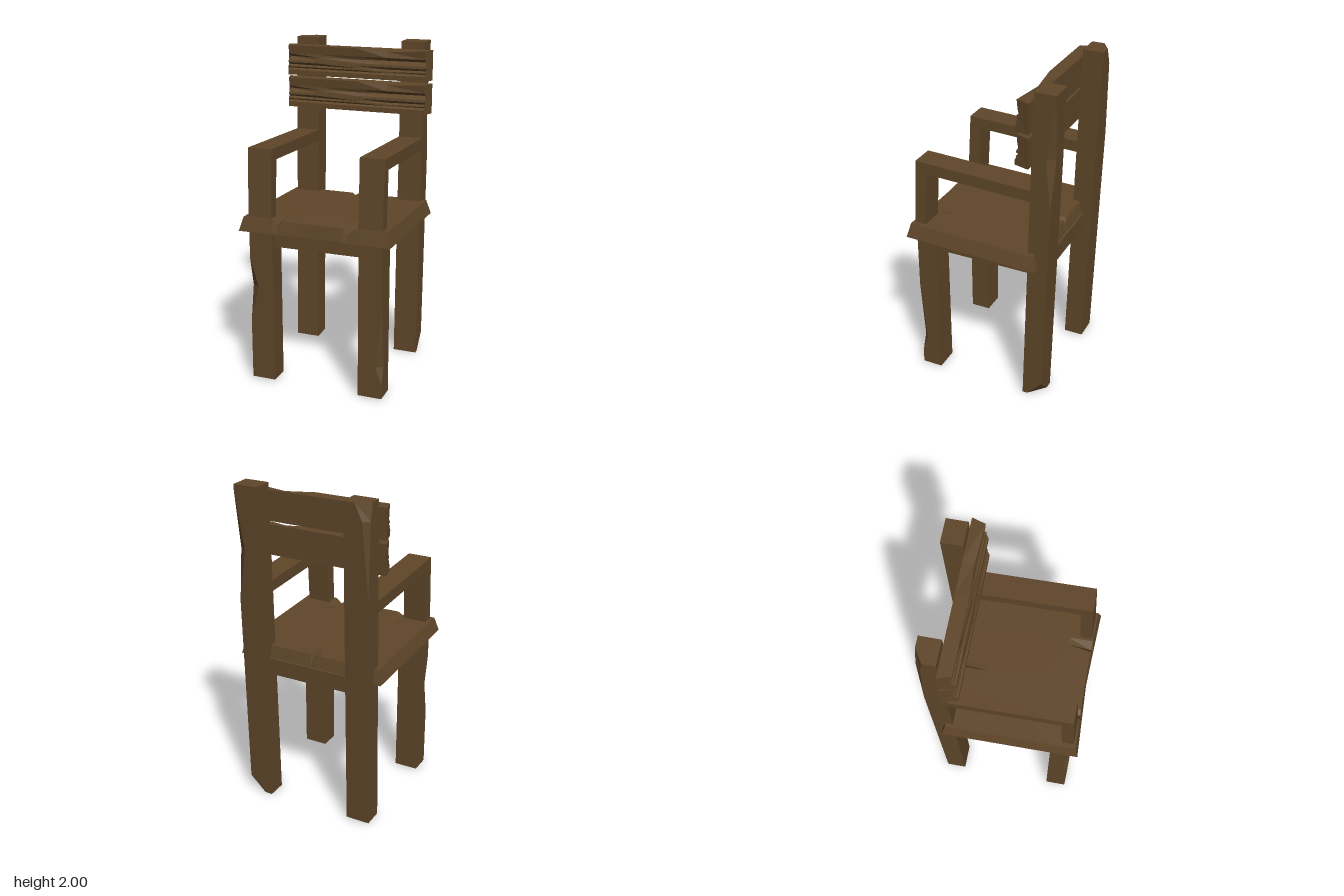
import * as THREE from 'three';

const wood = new THREE.MeshStandardMaterial({ color: 0x5f4629, flatShading: true });

// Skin a list of equal-length rings into a closed, faceted solid.
function loft(name, rings) {
  const tris = [];
  const mid = (r) => r.reduce((s, p) => s.add(p), new THREE.Vector3()).divideScalar(r.length);
  const n = rings[0].length;
  const add = (a, b, c) => {
    const area = b.clone().sub(a).cross(c.clone().sub(a)).length();
    if (area > 1e-9) tris.push([a, b, c]);
  };
  for (let i = 0; i < rings.length - 1; i++) {
    for (let j = 0; j < n; j++) {
      const k = (j + 1) % n, a = rings[i], b = rings[i + 1];
      add(a[j], a[k], b[k]);
      add(a[j], b[k], b[j]);
    }
  }
  const first = rings[0], last = rings[rings.length - 1];
  const m0 = mid(first), m1 = mid(last);
  for (let j = 0; j < n; j++) {
    const k = (j + 1) % n;
    add(m0, first[k], first[j]);
    add(m1, last[j], last[k]);
  }
  // Turn the faces outward whichever way the rings were wound.
  const volume = tris.reduce((v, [a, b, c]) => v + a.dot(b.clone().cross(c)), 0);
  const points = tris.flatMap(([a, b, c]) => (volume < 0 ? [a, c, b] : [a, b, c]));
  const geometry = new THREE.BufferGeometry().setFromPoints(points);
  geometry.computeVertexNormals();
  const mesh = new THREE.Mesh(geometry, wood);
  mesh.name = name;
  return mesh;
}

const V = (x, y, z) => new THREE.Vector3(x, y, z);

// Square post. Each station is [y, zBack, zFront, chipX, chipZ];
// the chip cuts one corner, given by its signs in x and z.
function post(name, x0, x1, stations, signX = 1, signZ = 1) {
  const rings = stations.map(([y, z0, z1, cx = 0, cz = 0]) => {
    const corner = (x, z, sx, sz, xFirst) => {
      const chipped = sx === signX && sz === signZ;
      const alongX = V(x - (chipped ? sx * cx : 0), y, z);
      const alongZ = V(x, y, z - (chipped ? sz * cz : 0));
      return xFirst ? [alongX, alongZ] : [alongZ, alongX];
    };
    return [
      ...corner(x0, z0, -1, -1, false), ...corner(x1, z0, 1, -1, true),
      ...corner(x1, z1, 1, 1, false), ...corner(x0, z1, -1, 1, true),
    ];
  });
  return loft(name, rings);
}

function box(name, w, h, d, x, y, z) {
  const mesh = new THREE.Mesh(new THREE.BoxGeometry(w, h, d), wood);
  mesh.name = name;
  mesh.position.set(x, y, z);
  return mesh;
}

// Seat board, sloping to the back, with splits cut into its edges.
function seat() {
  const top = (z) => 1.027 + 0.03 * z;
  const bottom = (z) => 0.941 + 0.03 * z;
  // x at top, x at bottom, front split depth, split end z, back split depth
  const stations = [
    [-0.44, -0.465, 0, 0.2, 0], [-0.255, -0.255, 0, 0.2, 0], [-0.227, -0.227, 0.025, 0.14, 0],
    [-0.195, -0.195, 0.006, 0.2, 0], [-0.05, -0.05, 0.006, 0.2, 0], [-0.018, -0.018, 0.006, 0.2, 0.025],
    [-0.01, -0.01, 0.006, 0.2, 0], [0.18, 0.18, 0.006, 0.28, 0], [0.205, 0.205, 0.04, 0.28, 0],
    [0.25, 0.25, 0, 0.28, 0], [0.44, 0.465, 0, 0.2, 0],
  ];
  return loft('seat', stations.map(([xt, xb, front, end, back]) => {
    const bow = 0.02 * (1 - Math.abs(xb) / 0.465);
    const zf = 0.437 - bow / 2;
    return [
      V(xb, bottom(-0.37), -0.37), V(xb, bottom(0.457), 0.457 - bow),
      V(xt, top(zf) - front, zf), V(xt, top(end), end),
      V(xt, top(-0.17), -0.17), V(xt, top(-0.35) - back, -0.35),
    ];
  }));
}

// Back slat with wedge-shaped cracks running in from both ends.
function slat(y) {
  // x at rear, x at front, then the depths of three cracks
  const stations = [
    [-0.465, -0.44, 0.03, 0.035, 0.02], [-0.24, -0.24, 0, 0.018, 0.012], [0.01, 0.01, 0.01, 0, 0.006],
    [0.2, 0.2, 0.03, 0.012, 0], [0.465, 0.44, 0.04, 0.03, 0.02],
  ];
  return loft('backSlat', stations.map(([xr, xf, a, b, c], i) => {
    const sag = i === 3 ? 0.015 : 0;
    const p = (h, z) => V(xf, y + h, z);
    return [
      V(xr, y, -0.325), V(xr, y + 0.18, -0.325),
      p(0.18 - sag, -0.245 - sag), p(0.13, -0.25), p(0.11, -0.248 - a), p(0.09, -0.245),
      p(0.075, -0.243), p(0.06, -0.242 - b), p(0.05, -0.24), p(0.04, -0.24 - c),
      p(0.03, -0.235), p(0, -0.235),
    ];
  }));
}

// Rail and upright of one armrest.
function armrest(x0, x1) {
  const group = new THREE.Group();
  group.name = 'armrest';
  const ring = (z, zTop, y0, y1) => [V(x0, y0, z), V(x1, y0, z), V(x1, y1, zTop), V(x0, y1, zTop)];
  group.add(
    loft('armRail', [ring(-0.405, -0.405, 1.345, 1.415), ring(0.405, 0.401, 1.378, 1.447)]),
    post('armUpright', x0 + 0.001, x1 - 0.001, [[0.99, 0.355, 0.427], [1.4, 0.332, 0.404]]),
  );
  return group;
}

export function createModel() {
  const chair = new THREE.Group();
  chair.name = 'chair';
  const right = [-0.417, -0.27], left = [0.265, 0.412];

  // Front legs, each with a chipped outer edge
  chair.add(
    post('frontLegRight', ...right, [
      [0.01, 0.29, 0.415], [0.38, 0.29, 0.415], [0.6, 0.29, 0.415, 0.053, 0.04],
      [0.78, 0.29, 0.415], [0.96, 0.29, 0.415],
    ], -1, 1),
    post('frontLegLeft', ...left, [
      [0.005, 0.29, 0.415], [0.09, 0.29, 0.415], [0.2, 0.29, 0.415, 0.04, 0.035],
      [0.6, 0.29, 0.415], [0.96, 0.29, 0.415],
    ], 1, 1),
  );

  // Back posts lean backward, full height
  const lean = (y, cx, cz) => [y, -0.28 - 0.025 * y, -0.4 - 0.0275 * y, cx, cz];
  const back = (name, xs, list, sx) =>
    post(name, ...xs, list.map(([y, cx, cz]) => {
      const [h, front, rear] = lean(y);
      return [h, rear, front, cx, cz];
    }), sx, -1);
  chair.add(
    back('backPostRight', right, [[0.008], [1.45], [1.9, 0.035, 0.03], [2, 0.08, 0.05]], -1),
    back('backPostLeft', left, [[0, 0.1, 0.09], [0.1], [1.3], [1.62, 0.05, 0.04], [1.97], [2]], 1),
  );

  // Apron boards under the seat
  chair.add(
    box('frontApron', 0.54, 0.1, 0.07, 0, 0.906, 0.345),
    box('backApron', 0.54, 0.1, 0.07, 0, 0.892, -0.345),
  );
  for (const x of [-0.343, 0.338]) {
    chair.add(box('sideApron', 0.07, 0.09, 0.64, x, 0.9, 0));
  }

  chair.add(seat(), slat(1.775), slat(1.575), armrest(...right), armrest(...left));
  return chair;
}
